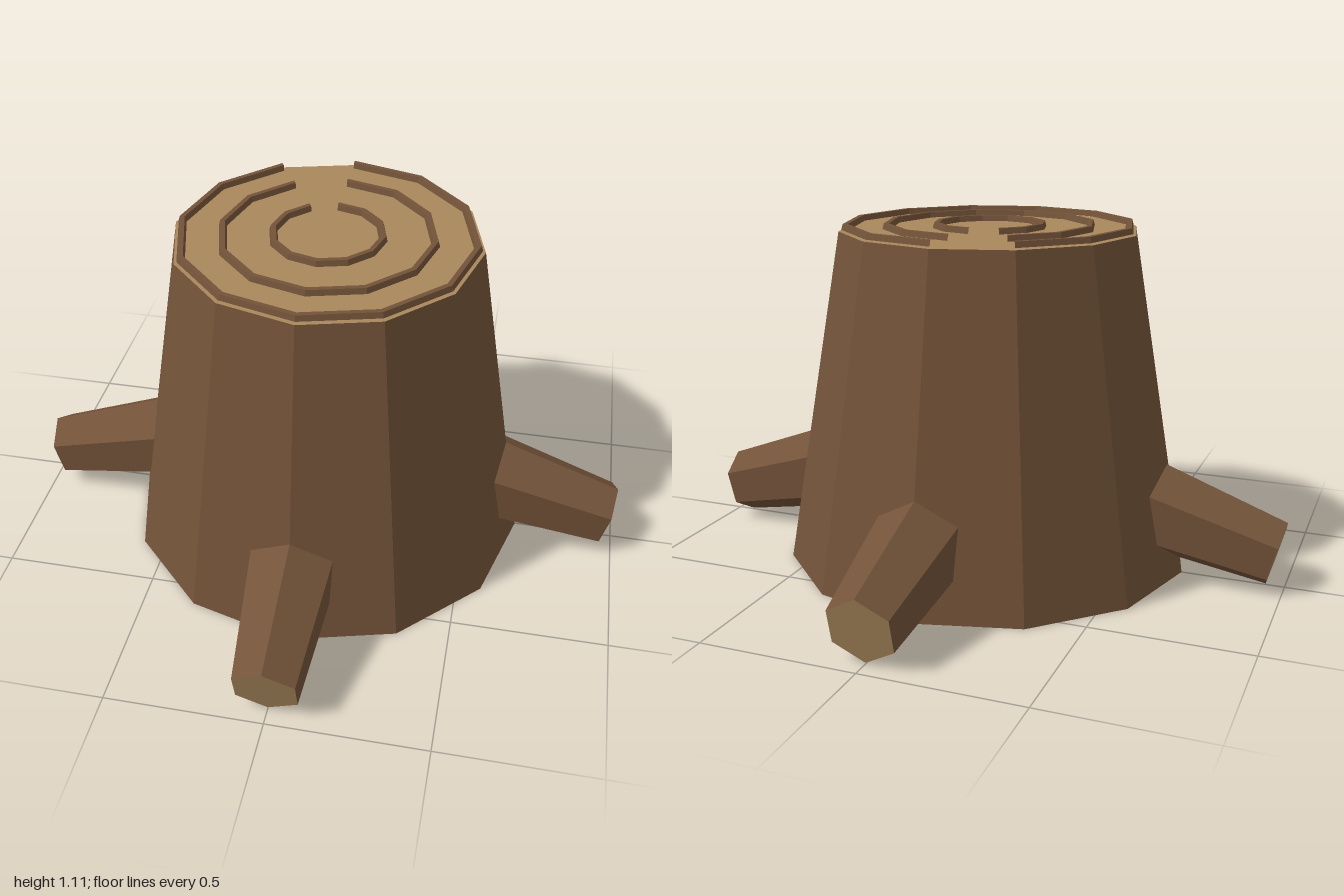
import * as THREE from 'three';

const bark = new THREE.MeshStandardMaterial({ name: 'bark', color: 0x735339, flatShading: true });
const cutWood = new THREE.MeshStandardMaterial({ name: 'cut wood', color: 0xa9885c, flatShading: true });

function addMesh(parent, name, geometry, material) {
  const mesh = new THREE.Mesh(geometry, material);
  mesh.name = name;
  parent.add(mesh);
  return mesh;
}

// Open growth ring with a small trapezoid section, leaving a 30 degree gap
function growthRing(radius) {
  const y0 = 1.092, y1 = 1.11;
  const section = [[-0.013, y0], [0.013, y0], [0.008, y1], [-0.008, y1], [-0.013, y0]]
    .map(([r, y]) => new THREE.Vector2(radius + r, y));
  return new THREE.LatheGeometry(section, 11, -Math.PI * 5 / 6, Math.PI * 11 / 6);
}

export function createModel() {
  const model = new THREE.Group();
  model.name = 'treeStump';

  // Tapered twelve-sided trunk with cut faces
  const height = 1.087;
  const trunk = new THREE.CylinderGeometry(0.485, 0.67, height, 12);
  trunk.translate(0, height / 2, 0);
  addMesh(model, 'trunk', trunk, [bark, cutWood, cutWood]);

  // Growth rings just above the cut top
  const rings = new THREE.Group();
  rings.name = 'growthRings';
  [0.463, 0.333, 0.172].forEach((r) => addMesh(rings, 'growthRing', growthRing(r), bark));
  model.add(rings);

  // Four hexagonal roots sloping down and outwards
  const root = new THREE.CylinderGeometry(0.11, 0.167, 0.6, 6);
  root.rotateX(Math.PI / 2 + THREE.MathUtils.degToRad(15));
  root.translate(0, 0.1875, 0.68);
  ['frontRoot', 'leftRoot', 'backRoot', 'rightRoot'].forEach((name, i) => {
    addMesh(model, name, root, [bark, cutWood, cutWood]).rotation.y = i * Math.PI / 2;
  });

  return model;
}
